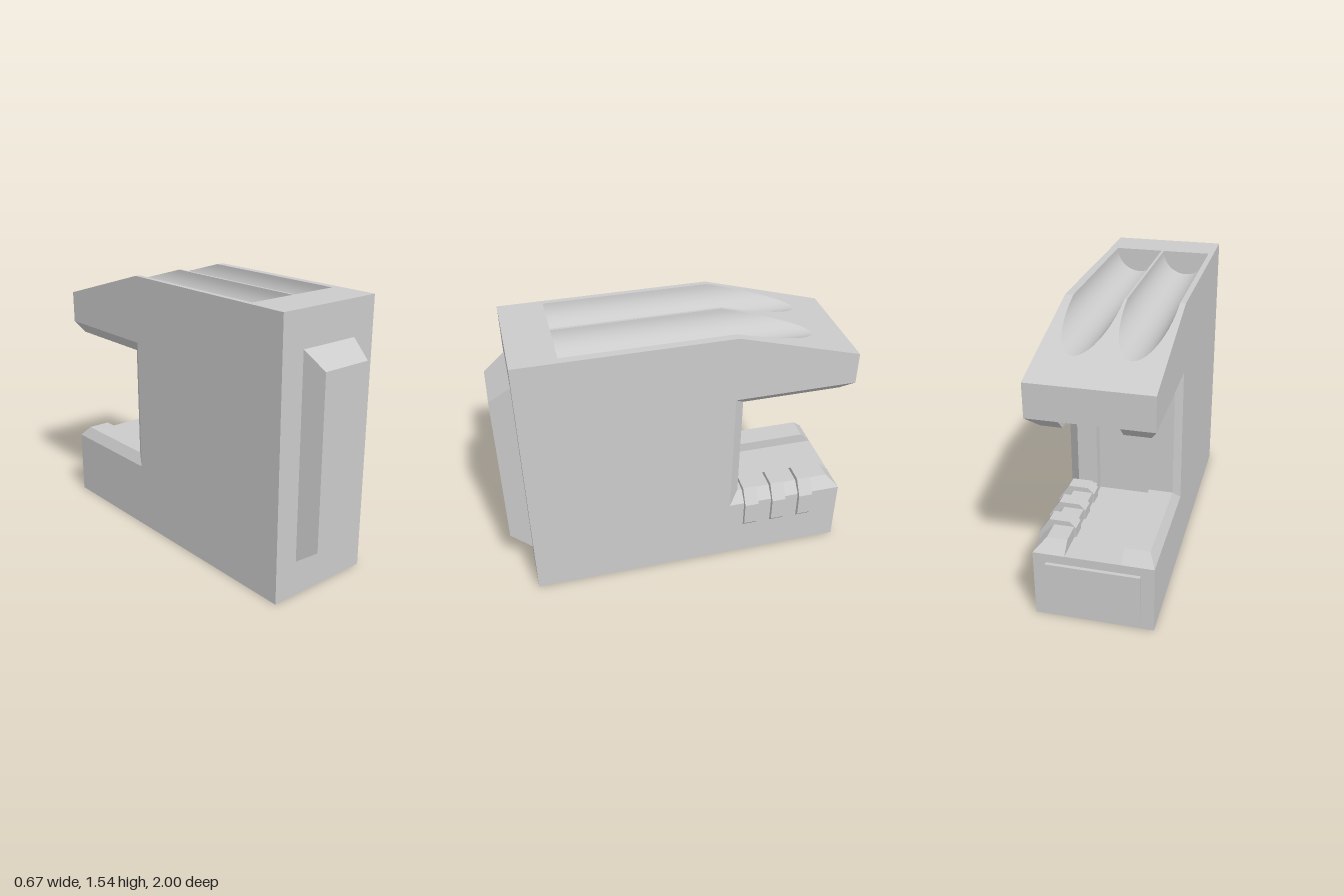
import * as THREE from 'three';
import { toCreasedNormals } from 'three/addons/utils/BufferGeometryUtils.js';

const material = new THREE.MeshStandardMaterial({ color: 0xcccccc });
const LEFT = 0.305, RIGHT = -0.335;

// Closed solid through rings of [x, y, z] points, capped at both ends.
// flat() projects a cap to 2D for triangulation.
function loft(name, rings, flat = (p) => new THREE.Vector2(p[0], p[1])) {
  const tris = [];
  const n = rings[0].length;
  for (let i = 0; i < rings.length - 1; i++) {
    for (let j = 0; j < n; j++) {
      const k = (j + 1) % n;
      const a = rings[i], b = rings[i + 1];
      tris.push([a[j], a[k], b[k]], [a[j], b[k], b[j]]);
    }
  }
  const cap = (ring, reversed) => {
    const contour = ring.map(flat);
    const sign = Math.sign(THREE.ShapeUtils.area(contour));
    for (const f of THREE.ShapeUtils.triangulateShape(contour.slice(), [])) {
      const same = THREE.ShapeUtils.area(f.map((i) => contour[i])) * sign > 0;
      const t = f.map((i) => ring[i]);
      tris.push(same === reversed ? t.reverse() : t);
    }
  };
  cap(rings[0], true);
  cap(rings[rings.length - 1], false);

  // Drop slivers, then turn everything outward by the sign of the volume
  let volume = 0;
  const solid = tris.map((t) => t.map((p) => new THREE.Vector3(...p))).filter(([a, b, c]) => {
    volume += a.dot(b.clone().cross(c));
    return b.clone().sub(a).cross(c.clone().sub(a)).length() > 1e-9;
  });
  if (volume < 0) solid.forEach((t) => t.reverse());
  const geometry = new THREE.BufferGeometry().setFromPoints(solid.flat());
  const mesh = new THREE.Mesh(toCreasedNormals(geometry, 0.24), material);
  mesh.name = name;
  return mesh;
}

// Side profile swept across x; the top dips into two round troughs
function makeBody() {
  const top = 1.54, slope = 0.2 / 0.69, r = 0.1375, steps = 20;
  const columns = [[RIGHT, 0]];
  for (const centre of [-0.1675, 0.1225]) {
    for (let i = 0; i <= steps; i++) {
      const a = (Math.PI * i) / steps;
      columns.push([centre - r * Math.cos(a), r * Math.sin(a)]);
    }
  }
  columns.push([LEFT, 0]);
  const rings = columns.map(([x, depth]) => [
    [0.88, 0], [0.88, top], [0.635, top], [0.635, top - depth],
    [-0.29 - depth / slope, top - depth], [-0.98, 1.34],
    [-0.98, 1.155], [-0.29, 1.155], [-0.29, 0.385], [-0.98, 0.385], [-0.98, 0],
  ].map(([z, y]) => [x, y, z]));
  return loft('body', rings, (p) => new THREE.Vector2(p[2], p[1]));
}

// Chamfered U-shaped rim around one side of the rear opening
function makeRim(name, edge, inward, chamfer) {
  const h = 0.062;
  const section = [[0, 0], [chamfer, h], [0.17, h], [0.17, 0]];
  const stations = [
    (p) => [0.385 + p, -0.98 + p],
    (p) => [0.385 + p, -0.29 - p],
    (p) => [1.155 - p, -0.29 - p],
    (p) => [1.155 - p, -0.98 + p],
  ];
  return loft(name, stations.map((at) => section.map(([d, p]) => [edge + inward * d, ...at(p)])));
}

export function createModel() {
  const model = new THREE.Group();
  model.name = 'slottedBlock';
  model.add(makeBody());
  model.add(makeRim('leftRim', LEFT, -1, 0.06));
  model.add(makeRim('rightRim', RIGHT, 1, 0.035));

  // Tapered panel on the front face
  const rect = (x0, x1, y0, y1, z) => [[x0, y0, z], [x1, y0, z], [x1, y1, z], [x0, y1, z]];
  model.add(loft('frontPanel', [
    rect(-0.195, 0.165, 0.2, 1.34, 0.88),
    rect(-0.165, 0.135, 0.29, 1.25, 1),
  ]));

  // Thin plate on the rear of the lower jaw
  const plate = new THREE.Mesh(new THREE.BoxGeometry(0.5, 0.285, 0.02), material);
  plate.name = 'rearPlate';
  plate.position.set(-0.015, 0.1925, -0.99);
  model.add(plate);

  // Grip ribs folded over the left rim of the lower jaw
  const rib = [
    [0.29, 0.215], [0.305, 0.215], [0.33, 0.245], [0.33, 0.385], [0.27, 0.475],
    [0.16, 0.475], [0.125, 0.44], [0.125, 0.38], [0.29, 0.38],
  ];
  for (const z of [-0.42, -0.59, -0.76]) {
    model.add(loft('gripRib', [z + 0.041, z - 0.041].map((d) => rib.map(([x, y]) => [x, y, d]))));
  }
  return model;
}
